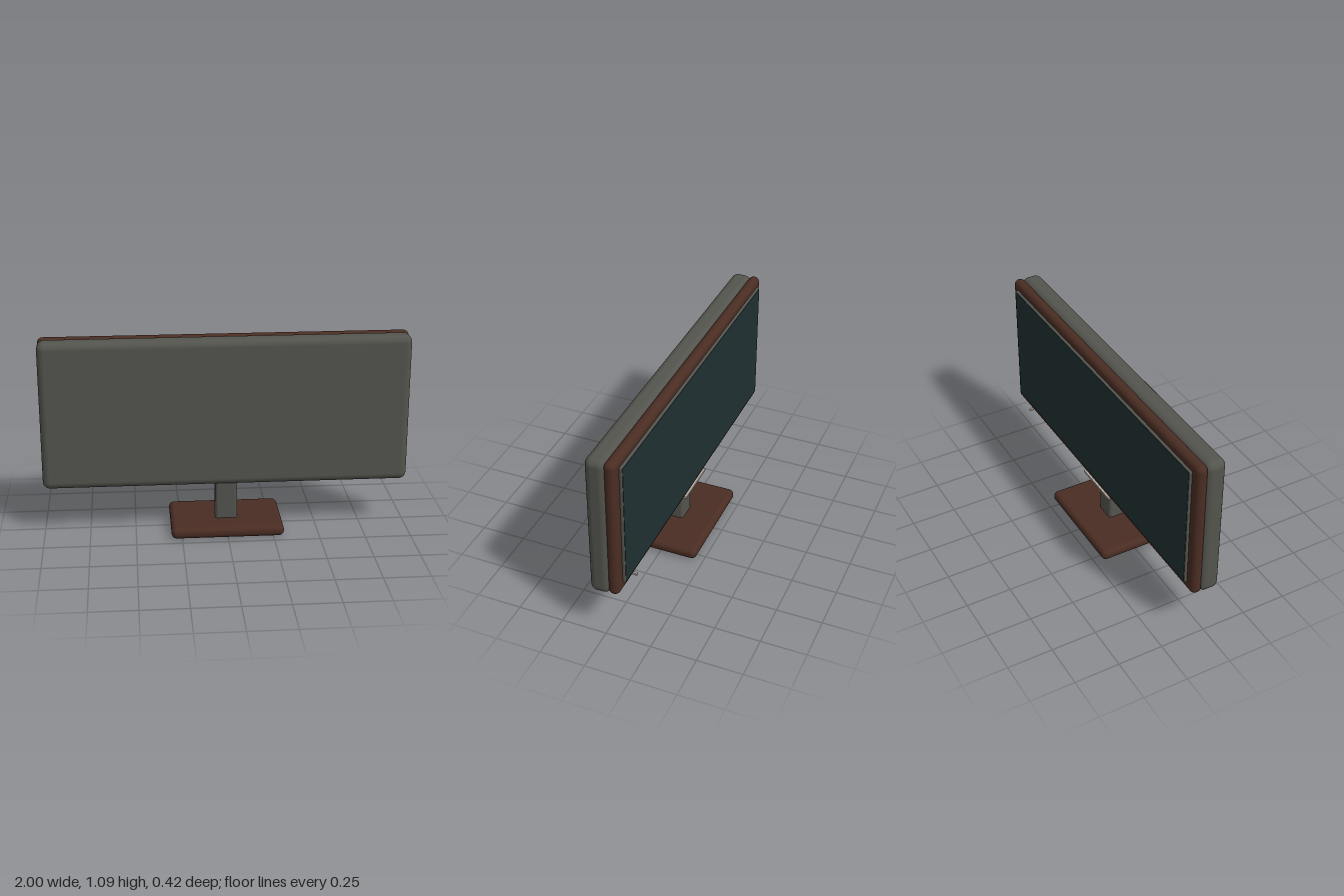
import * as THREE from 'three';
import { RoundedBoxGeometry } from 'three/addons/geometries/RoundedBoxGeometry.js';

const paint = (name, color) => {
  const m = new THREE.MeshStandardMaterial({ color });
  m.name = name;
  return m;
};

export function createModel() {
  const group = new THREE.Group();
  group.name = 'monitor';

  const grey = paint('warm grey plastic', 0x53544d);
  const brown = paint('dark brown plastic', 0x4a2d23);
  const glass = paint('dark teal glass', 0x203031);
  const silver = paint('silver trim', 0xb4aea4);

  // Box given by its min and max on each axis, optionally rounded
  const block = (name, material, [x0, x1], [y0, y1], [z0, z1], radius = 0) => {
    const size = [x1 - x0, y1 - y0, z1 - z0];
    const geometry = radius
      ? new RoundedBoxGeometry(...size, 4, radius)
      : new THREE.BoxGeometry(...size);
    const mesh = new THREE.Mesh(geometry, material);
    mesh.name = name;
    mesh.position.set((x0 + x1) / 2, (y0 + y1) / 2, (z0 + z1) / 2);
    group.add(mesh);
  };

  // Stand
  block('base', brown, [-0.308, 0.308], [0, 0.062], [-0.208, 0.208], 0.028);
  block('neck', grey, [-0.06, 0.06], [0.045, 0.4], [-0.033, 0.066], 0.016);

  // Casing and screen frame
  block('housing', grey, [-1, 1], [0.263, 1.087], [-0.03, 0.085], 0.04);
  block('bezel', brown, [-1, 1], [0.274, 1.087], [-0.079, -0.017], 0.03);

  // Screen panel with its glass plate
  block('screenPanel', grey, [-0.944, 0.944], [0.328, 1.042], [-0.093, -0.06], 0.006);
  block('screenGlass', glass, [-0.938, 0.938], [0.334, 1.036], [-0.095, -0.091]);

  // Trim strip and power button under the screen
  block('trimStrip', silver, [-0.14, 0.14], [0.277, 0.29], [-0.088, -0.068]);
  block('powerButton', silver, [0.805, 0.82], [0.276, 0.29], [-0.099, -0.072], 0.004);

  return group;
}
